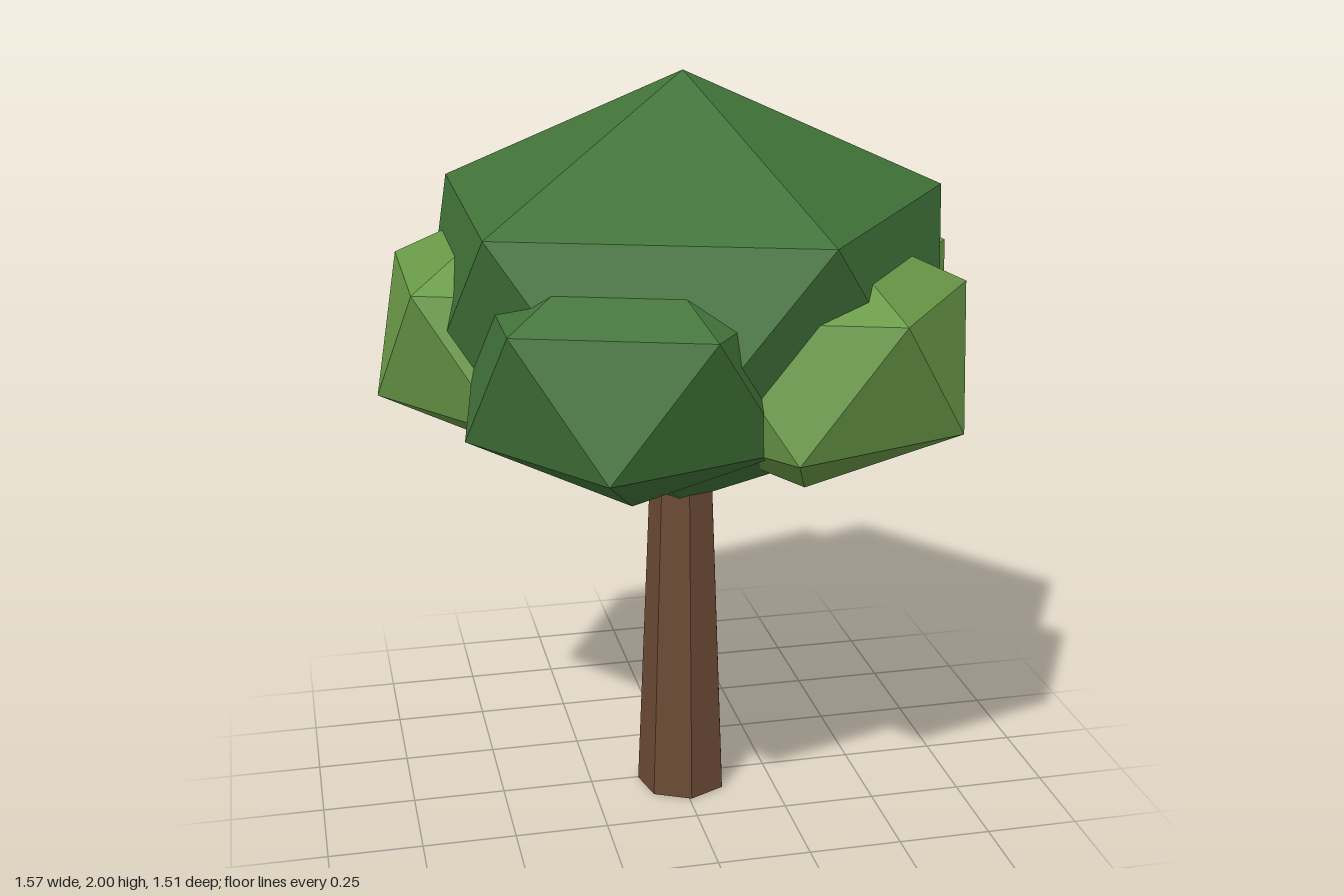
import * as THREE from 'three';
import { ConvexGeometry } from 'three/addons/geometries/ConvexGeometry.js';

const CX = 0.006, CZ = 0.027; // trunk axis

const paint = (color) => new THREE.MeshStandardMaterial({ color, flatShading: true });

// Squashed icosahedron standing on a vertex, one upper corner pointing to +x
function clump(ringRadius, halfHeight) {
  const points = [new THREE.Vector3(0, halfHeight, 0), new THREE.Vector3(0, -halfHeight, 0)];
  const ringY = halfHeight / Math.sqrt(5);
  for (let i = 0; i < 10; i++) {
    const a = (i * Math.PI) / 5;
    points.push(new THREE.Vector3(
      ringRadius * Math.cos(a), i % 2 ? -ringY : ringY, ringRadius * Math.sin(a)));
  }
  return new ConvexGeometry(points);
}

export function createModel() {
  const tree = new THREE.Group();
  tree.name = 'tree';
  const bark = paint(0x6b4a35);
  const darkLeaf = paint(0x417339);
  const lightLeaf = paint(0x6a9a48);

  const add = (name, geometry, material, x, y, z) => {
    const mesh = new THREE.Mesh(geometry, material);
    mesh.name = name;
    mesh.position.set(x, y, z);
    tree.add(mesh);
  };

  // Tapered seven-sided trunk, its top hidden in the crown
  add('trunk', new THREE.CylinderGeometry(0.086, 0.125, 0.96, 7), bark, CX, 0.48, CZ + 0.003);

  // Large central crown
  add('crown', clump(0.7, 0.58), darkLeaf, CX, 1.42, CZ);

  // Five smaller clumps evenly spaced around the crown
  const leafGeometry = clump(0.413, 0.363);
  const leaves = [lightLeaf, darkLeaf, lightLeaf, darkLeaf, lightLeaf];
  leaves.forEach((material, i) => {
    const a = THREE.MathUtils.degToRad(49 + 72 * i);
    add(`leafClump${i + 1}`, leafGeometry, material,
      CX + 0.393 * Math.cos(a), 1.328, CZ - 0.003 + 0.393 * Math.sin(a));
  });

  return tree;
}
